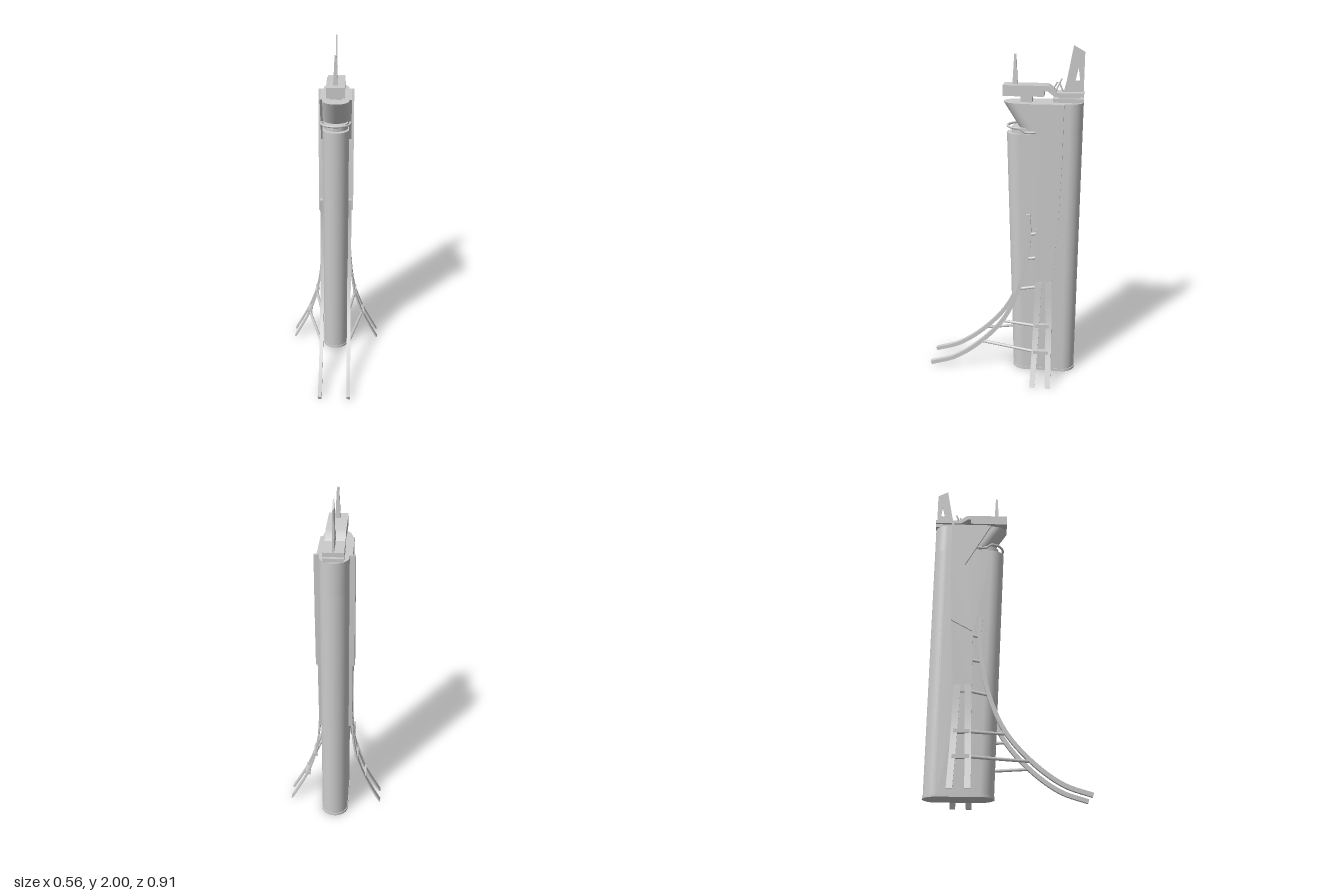
import * as THREE from 'three';
import { toCreasedNormals } from 'three/addons/utils/BufferGeometryUtils.js';

const material = new THREE.MeshStandardMaterial({ color: 0xcccccc });
const V = (x, y, z) => new THREE.Vector3(x, y, z);

function add(group, name, geometry) {
  const mesh = new THREE.Mesh(geometry, material);
  mesh.name = name;
  group.add(mesh);
  return mesh;
}

// Skin a stack of convex rings (counter-clockwise from above) and cap both ends.
function loft(rings) {
  const n = rings[0].length, out = [];
  const tri = (...pts) => pts.forEach((p) => out.push(p.x, p.y, p.z));
  for (let r = 0; r < rings.length - 1; r++) {
    const a = rings[r], b = rings[r + 1];
    for (let i = 0; i < n; i++) {
      const j = (i + 1) % n;
      tri(a[i], a[j], b[j]);
      tri(a[i], b[j], b[i]);
    }
  }
  const first = rings[0], last = rings[rings.length - 1];
  for (let i = 1; i < n - 1; i++) {
    tri(first[0], first[i + 1], first[i]);
    tri(last[0], last[i], last[i + 1]);
  }
  const geometry = new THREE.BufferGeometry();
  geometry.setAttribute('position', new THREE.Float32BufferAttribute(out, 3));
  return toCreasedNormals(geometry, 0.6);
}

// Long oval section with round front and back ends.
function oval(y, front, back, w = 0.077) {
  const ring = [], steps = 20;
  for (let end = 0; end < 2; end++) {
    for (let i = 0; i <= steps; i++) {
      const t = Math.PI * (end + i / steps);
      const centre = end === 0 ? back + 0.077 : front - 0.077;
      ring.push(V(w * Math.cos(t), y, centre - 0.077 * Math.sin(t)));
    }
  }
  return ring;
}

// Plate drawn as a (z, y) outline and thickened from x0 to x1.
function plate(points, x0, x1, hole) {
  const shape = new THREE.Shape(points.map(([z, y]) => new THREE.Vector2(z, y)));
  if (hole) shape.holes.push(new THREE.Path(hole.map(([z, y]) => new THREE.Vector2(z, y))));
  const geometry = new THREE.ExtrudeGeometry(shape, { depth: Math.abs(x1 - x0), bevelEnabled: false });
  geometry.rotateY(-Math.PI / 2);
  geometry.translate(Math.max(x0, x1), 0, 0);
  return toCreasedNormals(geometry, 0.5);
}

function box(w, h, d, x, y, z) {
  return new THREE.BoxGeometry(w, h, d).translate(x, y, z);
}

function rod(a, b, radius) {
  return new THREE.TubeGeometry(new THREE.LineCurve3(a, b), 1, radius, 8);
}

// Curved beam of even thickness, as a (z, y) outline.
function frontLegOutline() {
  const curve = new THREE.CatmullRomCurve3([
    V(0, 0.012, 0.455), V(0, 0.065, 0.3), V(0, 0.185, 0.135), V(0, 0.355, -0.012),
    V(0, 0.57, -0.105), V(0, 0.78, -0.15), V(0, 0.92, -0.162), V(0, 1.045, -0.155)]);
  const near = [], far = [], n = 36;
  for (let i = 0; i <= n; i++) {
    const p = curve.getPoint(i / n), t = curve.getTangent(i / n);
    const h = 0.012;
    near.push([p.z + t.y * h, Math.max(0, p.y - t.z * h)]);
    far.push([p.z - t.y * h, Math.max(0, p.y + t.z * h)]);
  }
  return [...near, ...far.reverse()];
}

// Flat beam that flares sideways toward the ground.
function sideLeg(s, zBottom, zTop) {
  const curve = new THREE.CatmullRomCurve3([
    V(0.276, 0, 0), V(0.227, 0.09, 0), V(0.178, 0.19, 0),
    V(0.128, 0.335, 0), V(0.106, 0.46, 0), V(0.094, 0.62, 0)]);
  const rings = [];
  for (let i = 0; i <= 20; i++) {
    const p = curve.getPoint(i / 20), k = p.y / 0.62;
    const z = zBottom + (zTop - zBottom) * k, w = 0.016 + 0.004 * k, t = 0.005;
    const ring = [[t, w], [t, -w], [-t, -w], [-t, w]].map(([dx, dz]) => V(s * (p.x + dx), p.y, z + dz));
    rings.push(s < 0 ? ring.reverse() : ring);
  }
  return loft(rings);
}

export function createModel() {
  const model = new THREE.Group();
  model.name = 'tower';
  const back = -0.45;

  // Main shaft, recessed neck and flared head
  add(model, 'shaft', loft([oval(0, -0.068, back), oval(1.515, -0.02, back)]));
  add(model, 'baseLip', loft([oval(0, -0.064, -0.454, 0.08), oval(0.015, -0.064, -0.454, 0.08)]));
  add(model, 'neck', loft([oval(1.51, -0.05, back, 0.072), oval(1.55, -0.05, back, 0.072)]));
  add(model, 'head', loft([oval(1.51, -0.115, back), oval(1.55, -0.09, back), oval(1.69, 0, back)]));

  // Railing around the front of the neck
  const railPoints = [V(-0.084, 1.53, -0.19), V(-0.084, 1.53, -0.13), V(-0.086, 1.55, -0.1)];
  for (let i = 1; i < 8; i++) {
    const t = (Math.PI * i) / 8;
    railPoints.push(V(-0.086 * Math.cos(t), 1.552, -0.1 + 0.075 * Math.sin(t)));
  }
  railPoints.push(V(0.086, 1.55, -0.1), V(0.084, 1.53, -0.13), V(0.084, 1.53, -0.19));
  add(model, 'railing', new THREE.TubeGeometry(new THREE.CatmullRomCurve3(railPoints), 60, 0.007, 8));

  for (const s of [1, -1]) {
    const side = new THREE.Group();
    side.name = s > 0 ? 'leftSide' : 'rightSide';
    model.add(side);

    // Side buttress panels
    add(side, 'upperPanel', plate(
      [[-0.345, 1.69], [-0.332, 1.69], [-0.26, 1.4], [-0.205, 0.95], [-0.33, 1.02], [-0.342, 1.35]], s * 0.06, s * 0.107));
    add(side, 'headPanel', plate([[-0.1, 1.69], [-0.34, 1.69], [-0.26, 1.4]], s * 0.06, s * 0.092));
    add(side, 'lowerPanel', plate(
      [[-0.2, 0.58], [-0.2, 0.955], [-0.33, 1.02], [-0.305, 0.58]], s * 0.06, s * 0.097));

    // Legs
    add(side, 'frontLeg', plate(frontLegOutline(), s * 0.074, s * 0.097));
    add(side, 'sideLegFront', sideLeg(s, -0.207, -0.222));
    add(side, 'sideLegBack', sideLeg(s, -0.3, -0.282));

    // Struts from front leg to side legs: [y, z, x] at each end
    const struts = [
      [0.19, 0.13, 0.086, 0.19, -0.21, 0.175], [0.34, 0, 0.086, 0.34, -0.21, 0.125],
      [0.565, -0.11, 0.086, 0.585, -0.21, 0.09], [0.765, -0.15, 0.086, 0.775, -0.21, 0.088],
      [0.92, -0.16, 0.086, 0.93, -0.21, 0.088]];
    for (const [y0, z0, x0, y1, z1, x1] of struts) {
      add(side, 'strut', rod(V(s * x0, y0, z0), V(s * x1, y1, z1), 0.009));
    }
    // Cross bars between the side legs
    add(side, 'lowerCrossBar', box(0.028, 0.02, 0.09, s * 0.174, 0.19, -0.25));
    add(side, 'upperCrossBar', box(0.022, 0.022, 0.09, s * 0.125, 0.342, -0.25));
  }

  // Stepped roof, support block and rear lower plate
  add(model, 'roof', plate(
    [[0, 1.725], [0, 1.785], [-0.24, 1.785], [-0.26, 1.78], [-0.3, 1.747], [-0.45, 1.747],
      [-0.45, 1.725], [-0.29, 1.725], [-0.25, 1.755], [-0.23, 1.755], [-0.23, 1.725]], -0.053, 0.053));
  add(model, 'roofSupport', box(0.07, 0.05, 0.065, 0, 1.71, -0.132));
  add(model, 'rearPlate', box(0.106, 0.02, 0.17, 0, 1.706, -0.365));
  add(model, 'rearSpacer', box(0.07, 0.05, 0.12, 0, 1.71, -0.37));

  // Mast
  const mast = new THREE.CylinderGeometry(0.008, 0.02, 0.165, 4, 1).toNonIndexed();
  mast.rotateY(Math.PI / 4).translate(0, 1.867, -0.065);
  mast.computeVertexNormals();
  add(model, 'mast', mast);

  // Tail fin with a triangular opening, and small hooks ahead of it
  add(model, 'tailFin', plate(
    [[-0.335, 1.74], [-0.352, 1.81], [-0.385, 2], [-0.447, 1.965], [-0.447, 1.74]], -0.004, 0.004,
    [[-0.4, 1.81], [-0.415, 1.88], [-0.425, 1.81]]));
  for (const [z0, z1, top] of [[-0.27, -0.3, 1.8], [-0.29, -0.325, 1.82], [-0.335, -0.31, 1.8]]) {
    add(model, 'hook', rod(V(0, 1.745, z0), V(0, top, z1), 0.004));
  }
  return model;
}
